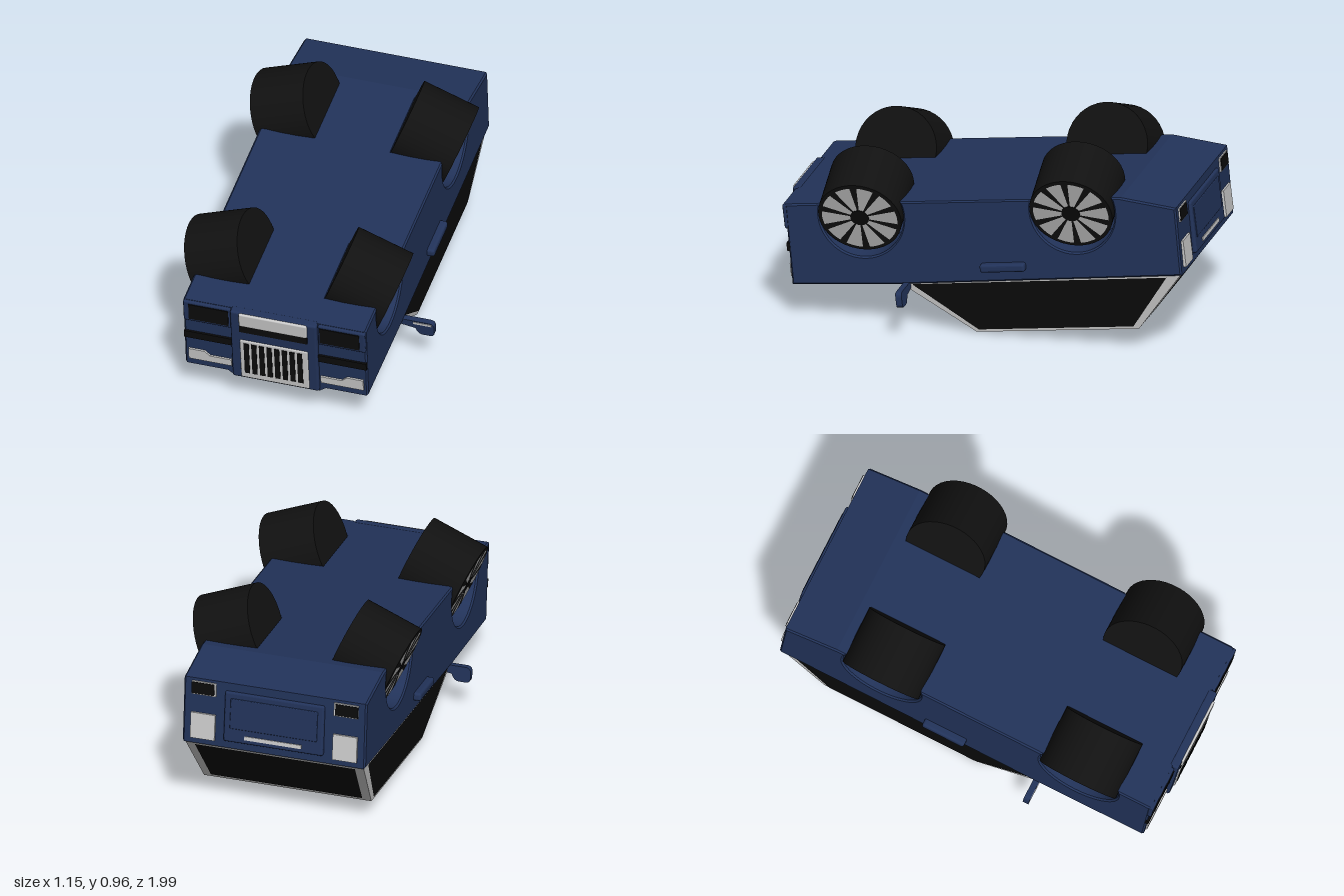
import * as THREE from 'three';
import { ConvexGeometry } from 'three/addons/geometries/ConvexGeometry.js';
import { RoundedBoxGeometry } from 'three/addons/geometries/RoundedBoxGeometry.js';

const mat = (color, extra = {}) => new THREE.MeshStandardMaterial({ color, ...extra });
const blue = mat(0x22335a, { flatShading: true });
const black = mat(0x0b0b0b, { side: THREE.DoubleSide });
const rubber = mat(0x111111);
const grey = mat(0xcccccc, { side: THREE.DoubleSide });
const V = (x, y, z) => new THREE.Vector3(x, y, z);

// An overturned car: the roof is low, the underside faces up, the nose tips down.
export function createModel() {
  const model = new THREE.Group();
  const car = new THREE.Group();
  car.name = 'overturnedCar';
  car.position.x = -0.025;
  car.rotation.x = 0.12;
  model.add(car);

  const add = (name, geometry, material, parent = car) => {
    const mesh = new THREE.Mesh(geometry, material);
    mesh.name = name;
    parent.add(mesh);
    return mesh;
  };
  // Box given by its limits on each axis
  const box = (name, [x0, x1], [y0, y1], [z0, z1], material, radius = 0) => {
    const size = [x1 - x0, y1 - y0, z1 - z0];
    const g = radius ? new RoundedBoxGeometry(...size, 2, radius) : new THREE.BoxGeometry(...size);
    add(name, g, material).position.set((x0 + x1) / 2, (y0 + y1) / 2, (z0 + z1) / 2);
  };
  const span = (side, a, b) => (side > 0 ? [a, b] : [-b, -a]);

  // Body: a plain core between two side sections with wheel arches
  const wheelZ = [0.516, -0.522], wheelY = 0.611, archR = 0.205, floorY = 0.674;
  const profile = (arches) => {
    const s = new THREE.Shape();
    s.moveTo(0.885, floorY).lineTo(0.895, 0.275).lineTo(0.37, 0.265);
    s.lineTo(-1.02, 0.28).lineTo(-1.03, 0.616).lineTo(-0.766, floorY);
    if (arches) {
      const t = Math.asin((floorY - wheelY) / archR);
      for (const z of [...wheelZ].reverse()) s.absarc(z, wheelY, archR, Math.PI - t, 2 * Math.PI + t, false);
    }
    return s;
  };
  const slab = (name, shape, x0, x1, bevel) => {
    const g = new THREE.ExtrudeGeometry(shape, {
      depth: x1 - x0 - 2 * bevel, bevelEnabled: bevel > 0, bevelSize: bevel, bevelThickness: bevel,
      bevelOffset: -bevel, bevelSegments: 1, curveSegments: 28,
    });
    g.rotateY(-Math.PI / 2).translate(x1 - bevel, 0, 0);
    add(name, g, blue);
  };
  slab('bodyCore', profile(false), -0.19, 0.19, 0);
  for (const side of [1, -1]) slab('bodySide', profile(true), ...span(side, 0.17, 0.45), 0.008);

  // Raised bonnet centre, widening towards the windscreen
  add('bonnet', new ConvexGeometry([1, -1].flatMap((s) => [
    V(s * 0.25, 0.28, 0.893), V(s * 0.21, 0.25, 0.893), V(s * 0.40, 0.28, 0.36), V(s * 0.36, 0.25, 0.38),
  ])), blue);

  // Cabin: a grey frame with glass and roof panels laid on its faces
  const corner = (s) => [V(s * 0.44, 0.275, 0.375), V(s * 0.412, 0.009, 0.03), V(s * 0.412, 0.009, -0.767), V(s * 0.44, 0.285, -1.015)];
  const L = corner(1), R = corner(-1);
  add('cabinFrame', new ConvexGeometry([...L, ...R]), grey);
  const centre = V(0, 0.17, -0.35);
  const panel = (name, [a, b, c, d], [u0, u1], [v0, v1], lift, material) => {
    const n = b.clone().sub(a).cross(d.clone().sub(a)).normalize();
    const outward = n.dot(a.clone().sub(centre)) > 0;
    if (!outward) n.negate();
    const at = (u, v) => a.clone().lerp(b, u).lerp(d.clone().lerp(c, u), v).addScaledVector(n, lift);
    const g = new THREE.BufferGeometry().setFromPoints([at(u0, v0), at(u1, v0), at(u1, v1), at(u0, v1)]);
    g.setIndex(outward ? [0, 1, 2, 0, 2, 3] : [0, 2, 1, 0, 3, 2]);
    g.computeVertexNormals();
    add(name, g, material);
  };
  const windscreen = [L[0], R[0], R[1], L[1]];
  panel('windscreenPillars', windscreen, [0.005, 0.995], [0, 1], 0.002, blue);
  panel('windscreen', windscreen, [0.055, 0.945], [0, 1], 0.004, black);
  panel('roof', [L[1], R[1], R[2], L[2]], [0.005, 0.995], [0, 1], 0.003, blue);
  panel('rearWindow', [L[3], R[3], R[2], L[2]], [0.05, 0.95], [0.07, 0.93], 0.003, black);
  for (const c of [L, R]) panel('sideWindows', [c[0], c[3], c[2], c[1]], [0.035, 0.955], [0.05, 0.95], 0.003, black);

  // Nose: centre block, grille with slots, number plate area
  box('noseBlock', [-0.2125, 0.2125], [0.262, 0.676], [0.87, 0.915], blue, 0.01);
  box('bumperPlate', [-0.168, 0.168], [0.598, 0.673], [0.9, 0.924], grey, 0.008);
  box('bumperGap', [-0.168, 0.168], [0.558, 0.598], [0.9, 0.919], black);
  box('grilleFrame', [-0.168, 0.168], [0.271, 0.508], [0.9, 0.921], grey, 0.008);
  for (let i = 0; i < 8; i++) {
    const x = -0.135 + i * 0.0375;
    box('grilleSlot', [x - 0.0125, x + 0.0125], [0.306, 0.492], [0.91, 0.924], black);
  }

  const lamp = new THREE.Shape([[0.22, 0.311], [0.43, 0.311], [0.43, 0.372], [0.35, 0.372], [0.325, 0.349], [0.22, 0.349]]
    .map((p) => new THREE.Vector2(...p)));
  for (const side of [1, -1]) {
    // Front corners
    box('frontBumper', span(side, 0.215, 0.448), [0.552, 0.672], [0.87, 0.9], blue, 0.008);
    box('airIntake', span(side, 0.225, 0.42), [0.568, 0.659], [0.89, 0.904], black);
    box('frontTrim', span(side, 0.2125, 0.449), [0.442, 0.482], [0.87, 0.9], black);
    const g = new THREE.ExtrudeGeometry(lamp, { depth: 0.02, bevelEnabled: false });
    add('headlight', g, grey).position.z = 0.882;
    if (side < 0) g.rotateY(Math.PI).translate(0, 0, 0.02);

    // Rear corners
    box('rearReflectorFrame', span(side, 0.29, 0.41), [0.535, 0.602], [-1.036, -1.01], grey);
    box('rearReflector', span(side, 0.298, 0.41), [0.54, 0.597], [-1.039, -1.02], black);
    box('tailLight', span(side, 0.29, 0.41), [0.31, 0.44], [-1.035, -1.0], grey);

    // Door handles
    box('doorHandle', span(side, 0.43, 0.485), [0.325, 0.365], [-0.262, -0.042], blue, 0.012);

    // Wing mirrors, a paddle on a short arm
    const m = new THREE.Shape();
    m.moveTo(0.40, 0.275).lineTo(0.555, 0.275).quadraticCurveTo(0.577, 0.272, 0.577, 0.25);
    m.lineTo(0.577, 0.215).quadraticCurveTo(0.575, 0.198, 0.55, 0.198).lineTo(0.52, 0.198);
    m.quadraticCurveTo(0.495, 0.2, 0.485, 0.232).lineTo(0.40, 0.245);
    const mg = new THREE.ExtrudeGeometry(m, { depth: 0.03, bevelEnabled: false });
    if (side < 0) mg.rotateY(Math.PI).translate(0, 0, 0.03);
    add('wingMirror', mg, blue).position.set(0.025, 0, 0.318);
    const gx = 0.025 + side * 0.52;
    box('mirrorTrim', [gx - 0.045, gx + 0.045], [0.258, 0.27], [0.34, 0.351], grey);
  }

  // Tailgate
  box('tailgate', [-0.245, 0.245], [0.32, 0.575], [-1.042, -1.0], blue, 0.01);
  box('tailgateInset', [-0.215, 0.215], [0.39, 0.545], [-1.045, -1.0], blue, 0.005);
  box('tailgateHandle', [-0.14, 0.14], [0.343, 0.362], [-1.046, -1.02], grey);

  // Wheels, splayed out on cambered axles
  const tyre = new THREE.CylinderGeometry(0.2, 0.2, 0.285, 40).rotateX(Math.PI / 2).translate(0, 0, -0.1425);
  const hub = new THREE.CylinderGeometry(0.045, 0.045, 0.008, 20).rotateX(Math.PI / 2);
  const spokes = 10, step = (2 * Math.PI) / spokes;
  for (const z of wheelZ) for (const side of [1, -1]) {
    const wheel = new THREE.Group();
    wheel.name = 'wheel';
    wheel.position.set(0.0075 + side * 0.468, wheelY, z);
    wheel.quaternion.setFromUnitVectors(V(0, 0, 1), V(side * 0.93, -0.37, 0).normalize());
    add('tyre', tyre, rubber, wheel);
    add('hub', hub, black, wheel);
    for (let i = 0; i < spokes; i++) {
      const spoke = new THREE.RingGeometry(0.045, 0.182, 5, 1, i * step, step * 0.7);
      add('spoke', spoke, grey, wheel).position.z = 0.002;
    }
    car.add(wheel);
  }
  return model;
}
